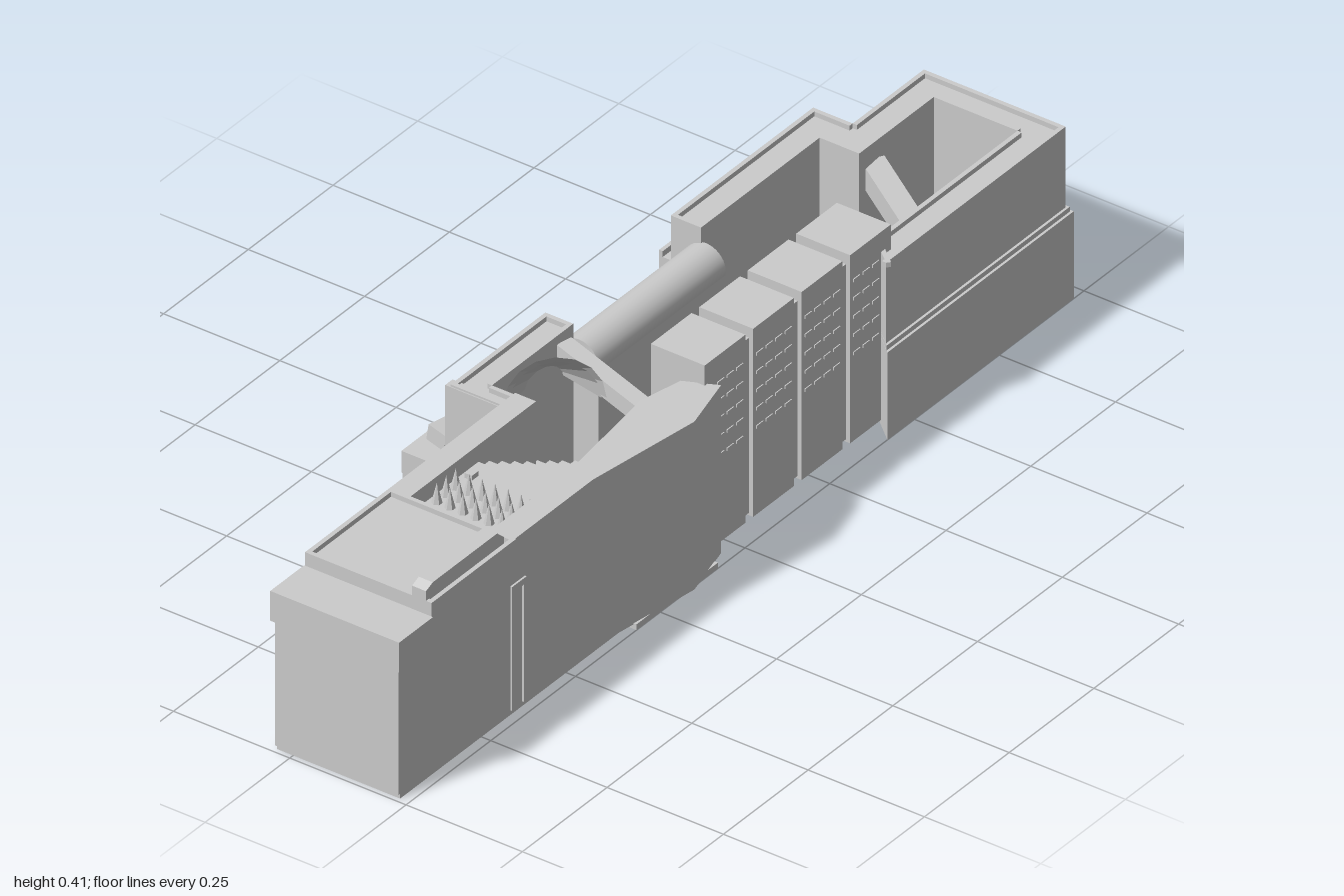
import * as THREE from 'three';
import { ParametricGeometry } from 'three/addons/geometries/ParametricGeometry.js';

const mat = new THREE.MeshStandardMaterial({ color: 0xcccccc, flatShading: true });
const thin = new THREE.MeshStandardMaterial({ color: 0xcccccc, flatShading: true, side: THREE.DoubleSide });
const smooth = new THREE.MeshStandardMaterial({ color: 0xcccccc, side: THREE.DoubleSide });

export function createModel() {
  const root = new THREE.Group();

  const add = (name, geo, m = mat) => {
    const mesh = new THREE.Mesh(geo, m);
    mesh.name = name;
    root.add(mesh);
    return mesh;
  };
  // Box given by its limits on each axis
  const box = (name, x0, x1, y0, y1, z0, z1) => {
    const b = add(name, new THREE.BoxGeometry(x1 - x0, y1 - y0, z1 - z0));
    b.position.set((x0 + x1) / 2, (y0 + y1) / 2, (z0 + z1) / 2);
    return b;
  };
  // Floor plan (x, z) raised from y0 to y1
  const plan = (name, pts, y0, y1) => {
    const shape = new THREE.Shape(pts.map(([x, z]) => new THREE.Vector2(x, -z)));
    const geo = new THREE.ExtrudeGeometry(shape, { depth: y1 - y0, bevelEnabled: false });
    return add(name, geo.rotateX(-Math.PI / 2).translate(0, y0, 0));
  };
  // Beam of square section between two points
  const beam = (name, a, b, w, h) => {
    const p = new THREE.Vector3(...a), q = new THREE.Vector3(...b);
    const m = add(name, new THREE.BoxGeometry(w, h, p.distanceTo(q)));
    m.position.copy(p).lerp(q, 0.5);
    m.lookAt(q);
    return m;
  };
  // Low parapet on the outline of a plan
  const parapet = (pts, y, h = 0.01, w = 0.009) => pts.forEach(([x, z], i) => {
    const [u, v] = pts[(i + 1) % pts.length];
    const len = Math.hypot(u - x, v - z);
    const nx = -(v - z) / len * w / 2, nz = (u - x) / len * w / 2;
    beam('parapet', [x + nx, y + h / 2, z + nz], [u + nx, y + h / 2, v + nz], w, h);
  });

  // Front hall
  box('frontHall', -0.035, 0.23, 0.01, 0.3, 0.64, 0.99);
  box('frontCornice', -0.042, 0.235, 0.27, 0.332, 0.9, 1);
  box('frontFace', -0.035, 0.23, 0.01, 0.28, 0.98, 0.995);
  box('frontHallRoof', -0.04, 0.232, 0.29, 0.35, 0.65, 0.9);
  parapet([[-0.04, 0.65], [0.232, 0.65], [0.232, 0.9], [-0.04, 0.9]], 0.35);
  box('leftHallWall', -0.04, 0.005, 0.01, 0.36, 0.28, 0.65);
  plan('rightFlaredWall', [[0.18, 0.65], [0.23, 0.65], [0.23, 0.42], [0.265, 0.17], [0.235, 0.05],
    [0.17, 0.08], [0.15, 0.17], [0.18, 0.42]], 0.01, 0.36);
  box('basePlate', -0.07, 0.25, 0, 0.012, 0.08, 0.32);
  box('hallBase', -0.035, 0.23, 0, 0.012, 0.32, 0.99);

  // Raised roof unit with sloping ends
  const unit = new THREE.Shape([[0.67, 0.355], [0.9, 0.355], [0.9, 0.38], [0.88, 0.388], [0.69, 0.388], [0.67, 0.37]]
    .map(([z, y]) => new THREE.Vector2(-z, y)));
  add('roofUnit', new THREE.ExtrudeGeometry(unit, { depth: 0.03, bevelEnabled: false })
    .rotateY(Math.PI / 2).translate(0.19, 0, 0));

  // Door frame on the right side
  box('doorFrame', 0.228, 0.234, 0.01, 0.265, 0.622, 0.63);
  box('doorFrame', 0.228, 0.234, 0.01, 0.265, 0.657, 0.665);
  box('doorFrame', 0.228, 0.234, 0.255, 0.268, 0.622, 0.665);

  // Spike court and stepped terrace
  box('spikeCourtFloor', 0, 0.185, 0.01, 0.325, 0.45, 0.655);
  for (let r = 0; r < 3; r++) for (let c = 0; c < 6; c++) {
    const s = add('spike', new THREE.ConeGeometry(0.01, 0.042, 6));
    s.position.set(0.022 + c * 0.028, 0.346, 0.54 + r * 0.028);
  }
  for (const x of [0.015, 0.155]) box('courtPost', x, x + 0.016, 0.32, 0.335, 0.485, 0.505);
  for (let i = 0; i < 10; i++) {
    const z = 0.085 + i * 0.037;
    box('terraceStep', 0, 0.185, 0.01, 0.13 + i * 0.02, z, z + 0.0372);
  }

  // Left annex around the shell
  const annex = [[-0.15, 0.04], [-0.09, 0.04], [-0.09, 0.28], [-0.035, 0.28], [-0.035, 0.32], [-0.15, 0.32]];
  plan('annex', annex, 0.005, 0.346);
  parapet(annex, 0.346);
  box('annexFace', -0.16, -0.037, 0.005, 0.352, 0.3, 0.322);
  box('annexPanel', -0.186, -0.15, 0.16, 0.282, 0.235, 0.285);
  box('annexDoor', -0.156, -0.148, 0.16, 0.28, 0.07, 0.11);

  // Flared half-cone shell, open toward the court
  const shell = (k) => new ParametricGeometry((u, v, t) => {
    const a = Math.PI * u, r = THREE.MathUtils.lerp(0.02, 0.09 * k, v);
    const cx = THREE.MathUtils.lerp(-0.1, -0.005, v), cz = THREE.MathUtils.lerp(0.09, 0.21, v);
    const y = THREE.MathUtils.lerp(0.27, 0.32, v);
    t.set(cx - Math.cos(a) * r * 0.74, y + Math.sin(a) * r, cz + Math.cos(a) * r * 0.67);
  }, 8, 1);
  add('shell', shell(1), thin);
  add('shellLining', shell(0.9), thin);
  beam('courtBridge', [-0.09, 0.32, 0.07], [0.17, 0.29, 0.13], 0.035, 0.035);

  // Apartment blocks with ledges, joined by narrower links
  for (let i = 0; i < 4; i++) {
    const z = 0.068 - i * 0.143;
    box('apartmentBlock', 0.097, 0.213, 0.01, 0.402, z - 0.12, z);
    if (i < 3) box('apartmentLink', 0.105, 0.204, 0.015, 0.38, z - 0.145, z - 0.118);
    for (let r = 0; r < 5; r++) for (let c = 0; c < 4; c++) {
      const wz = z - 0.028 - c * 0.028, wy = 0.19 + r * 0.038;
      box('apartmentLedge', 0.095, 0.215, wy, wy + 0.006, wz, wz + 0.02);
    }
  }

  // Vaulted gallery carried on arches
  const wall = new THREE.Shape();
  wall.moveTo(-0.04, 0.01);
  for (const c of [0.045, 0.15, 0.255]) {
    wall.lineTo(c - 0.04, 0.01);
    wall.lineTo(c - 0.04, 0.06);
    wall.absarc(c, 0.06, 0.04, Math.PI, 0, true);
    wall.lineTo(c + 0.04, 0.01);
  }
  wall.lineTo(0.335, 0.01);
  wall.lineTo(0.335, 0.285);
  wall.lineTo(-0.04, 0.285);
  add('galleryArcade', new THREE.ExtrudeGeometry(wall, { depth: 0.084, bevelEnabled: false, curveSegments: 10 })
    .rotateY(Math.PI / 2).translate(-0.12, 0, 0));
  const vault = add('galleryVault', new THREE.CylinderGeometry(0.043, 0.043, 0.375, 24, 1), smooth);
  vault.rotation.x = Math.PI / 2;
  vault.position.set(-0.078, 0.285, -0.1475);

  // Rear court: stepped plan with a wider base
  const rear = (e) => [[-0.065 - e, -0.96 - e], [0.24 + e, -0.96 - e], [0.24 + e, -0.43 + e], [0.18, -0.48],
    [0.18, -0.9], [0, -0.9], [0, -0.68], [-0.085, -0.68], [-0.085, -0.33], [-0.15, -0.33],
    [-0.15, -0.75], [-0.065 - e, -0.75]];
  plan('rearCourtWall', rear(0), 0.01, 0.35);
  parapet(rear(0), 0.35);
  plan('rearCourtBase', rear(0.01), 0, 0.182);
  plan('rearBaseTrim', rear(0.005), 0.18, 0.192);
  box('rearPorch', 0, 0.188, 0.01, 0.162, -1, -0.96);
  beam('rearBrace', [-0.01, 0.3, -0.73], [0.19, 0.25, -0.625], 0.045, 0.045);

  // Window slots, and pillars on the rear court
  for (let r = 0; r < 3; r++) for (let c = 0; c < 3; c++) {
    const y = 0.25 + r * 0.03, z = -0.92 + c * 0.05;
    box('rearWindow', -0.068, -0.06, y, y + 0.012, z, z + 0.035);
    box('hallWindow', -0.038, -0.03, y - 0.06, y - 0.052, z + 1.6, z + 1.625);
  }
  for (let i = 0; i < 6; i++) {
    const z = -0.695 + i * 0.042;
    box('pillar', -0.158, -0.148, 0.17, 0.275, z, z + 0.014);
  }

  // Side platforms on slab legs
  for (const z of [-0.73, 0.03]) {
    box('platformTop', -0.27, -0.145, 0.115, 0.16, z, z + 0.27);
    for (const d of [0, 0.115, 0.235]) box('platformLeg', -0.268, -0.145, 0.008, 0.12, z + d, z + d + 0.035);
    for (let i = 0; i < 5; i++) box('platformTrim', -0.273, -0.268, 0.13, 0.14, z + 0.02 + i * 0.05, z + 0.045 + i * 0.05);
  }
  box('platformRail', -0.27, -0.262, 0.16, 0.172, -0.73, -0.46);

  // Rounded pod on the rear platform
  const pod = add('pod', new THREE.CapsuleGeometry(0.048, 0.1, 6, 16), smooth);
  pod.rotation.x = Math.PI / 2;
  pod.position.set(-0.21, 0.168, -0.595);

  // Tumbled blocks on the front platform
  const heap = [[-0.21, 0.21, 0.1, 0.045], [-0.235, 0.18, 0.14, 0.04], [-0.19, 0.185, 0.15, 0.05],
    [-0.22, 0.19, 0.19, 0.045], [-0.18, 0.18, 0.22, 0.04], [-0.225, 0.178, 0.235, 0.04]];
  heap.forEach(([x, y, z, s], i) => {
    const b = add('tumbledBlock', new THREE.BoxGeometry(s, s * 0.8, s * 1.1));
    b.position.set(x, y, z);
    b.rotation.set(0.4 + i * 1.3, i * 0.9, 0.3 + i * 0.7);
  });

  return root;
}
